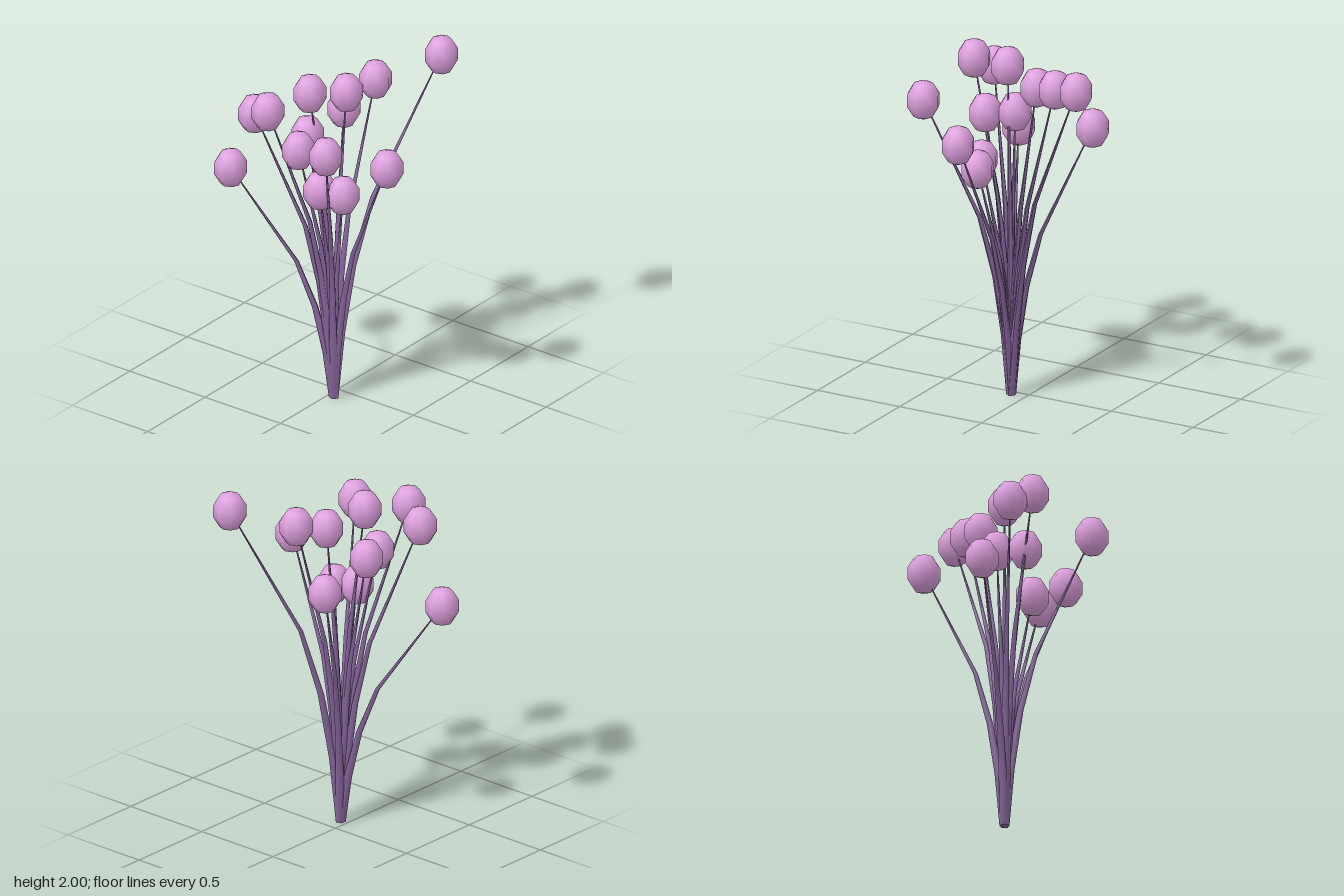
import * as THREE from 'three';

const petal = new THREE.MeshStandardMaterial({ color: 0xdda0dd });
petal.name = 'plum bloom';
const stalk = new THREE.MeshStandardMaterial({ color: 0x86659b });
stalk.name = 'purple stem';

// Point where all stems meet on the ground
const BASE = new THREE.Vector3(-0.085, 0, 0.04);

// Centre of each bloom: x, y, z
const BLOOMS = [
  [-0.33, 1.305, -0.46], [-0.37, 1.7, -0.27], [-0.42, 1.77, -0.145], [-0.29, 1.52, -0.04],
  [-0.14, 1.535, -0.095], [-0.165, 1.8, -0.06], [-0.25, 1.3, 0.07], [-0.205, 1.29, 0.19],
  [-0.48, 1.66, 0.285], [-0.17, 1.515, 0.455], [0.055, 1.74, 0.015], [0.21, 1.78, 0.09],
  [0.285, 1.495, -0.177], [0.475, 1.89, 0.325],
];

// Stem stations: share of height, share of outward lean, radius
const STATIONS = [
  [0, 0, 0.028], [0.2, 0.07, 0.023], [0.4, 0.18, 0.018], [0.6, 0.36, 0.013], [1, 1, 0.003],
];

// A tapered stem that bends outward as it rises
function stemGeometry(top) {
  const rows = STATIONS.length - 1;
  const geo = new THREE.CylinderGeometry(1, 1, 1, 5, rows);
  const pos = geo.attributes.position;
  for (let i = 0; i < pos.count; i++) {
    const [h, lean, r] = STATIONS[Math.round((pos.getY(i) + 0.5) * rows)];
    pos.setXYZ(
      i,
      BASE.x + (top.x - BASE.x) * lean + pos.getX(i) * r,
      top.y * h,
      BASE.z + (top.z - BASE.z) * lean + pos.getZ(i) * r,
    );
  }
  geo.computeVertexNormals();
  return geo;
}

export function createModel() {
  const group = new THREE.Group();
  group.name = 'flowerBunch';

  // Egg-shaped bloom shared by all flowers
  const bloomGeo = new THREE.SphereGeometry(0.0925, 8, 5).scale(1, 1.2, 1);

  BLOOMS.forEach((p, i) => {
    const top = new THREE.Vector3(...p);
    const flower = new THREE.Group();
    flower.name = `flower${i + 1}`;

    const stem = new THREE.Mesh(stemGeometry(top), stalk);
    stem.name = 'stem';

    const bloom = new THREE.Mesh(bloomGeo, petal);
    bloom.name = 'bloom';
    bloom.position.copy(top);

    flower.add(stem, bloom);
    group.add(flower);
  });
  return group;
}
